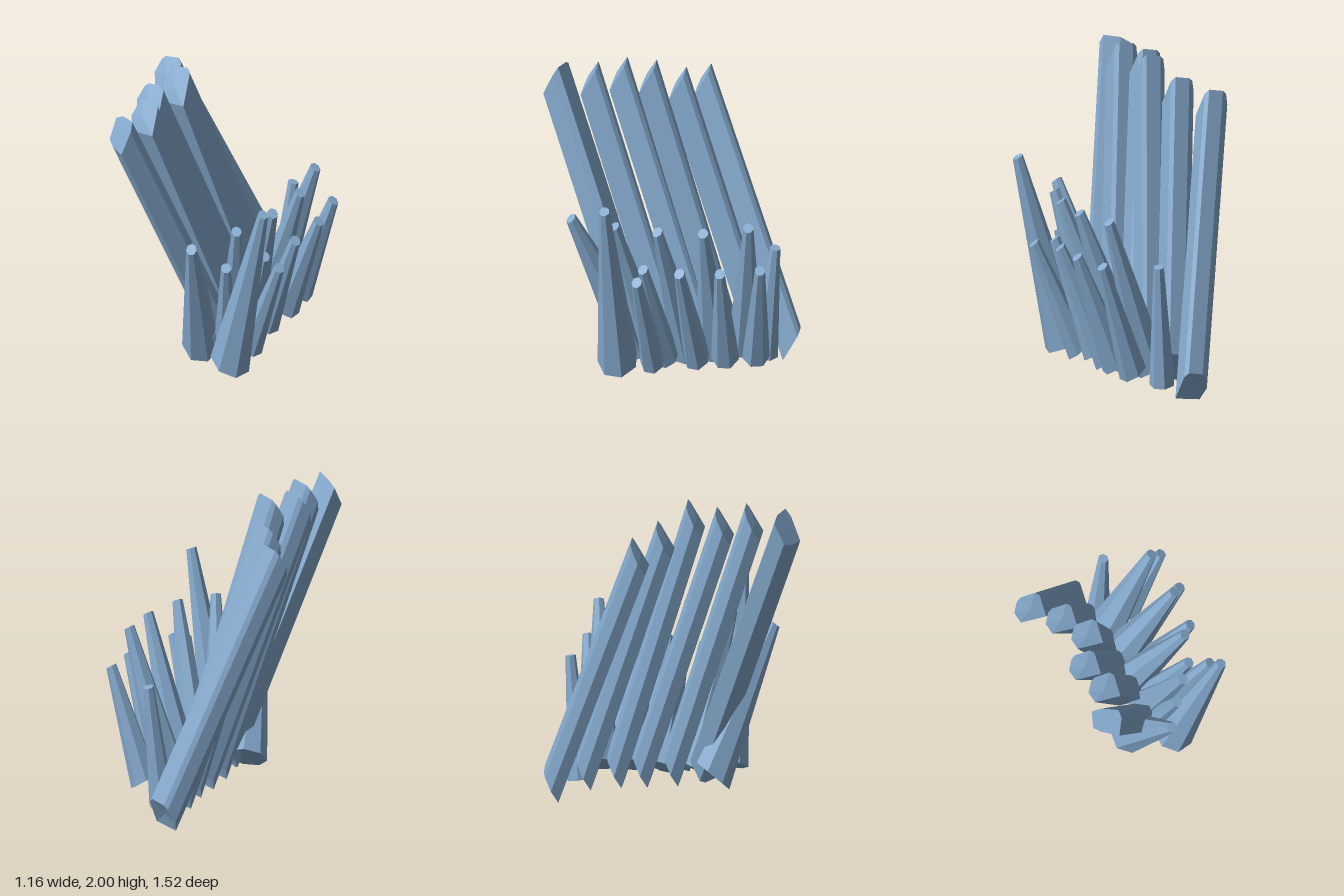
import * as THREE from 'three';

const blue = new THREE.MeshStandardMaterial({ color: 0x86abcf, flatShading: true });
blue.name = 'crystalBlue';

const toVec = (a) => new THREE.Vector3(...a);

// Slanted seven-sided end cuts: one for the row, one for the prism at its front
const rowSection = [
  [-0.087, -0.023, -0.04], [-0.07, -0.104, 0.01], [0.08, -0.08, 0.065], [0.088, 0.08, -0.025],
  [0.067, 0.107, -0.045], [-0.023, 0.086, -0.072], [-0.05, 0.06, -0.07],
].map(toVec);
const frontSection = [
  [-0.09, -0.08, -0.036], [-0.06, -0.10, 0.005], [0.025, -0.10, 0.088], [0.07, 0.045, 0.04],
  [0.07, 0.10, 0.004], [-0.01, 0.085, -0.064], [-0.065, 0.045, -0.092],
].map(toVec);

// Sweeps a section in a straight line from the bottom centre to the top centre
function prism(section, bottom, top) {
  const lo = section.map((p) => p.clone().add(bottom));
  const hi = section.map((p) => p.clone().add(top));
  const tris = [];
  const n = section.length;
  for (let i = 0; i < n; i++) {
    const j = (i + 1) % n;
    tris.push(lo[i], lo[j], hi[j], lo[i], hi[j], hi[i]);
    tris.push(top, hi[i], hi[j], bottom, lo[j], lo[i]);
  }
  const g = new THREE.BufferGeometry().setFromPoints(tris);
  g.computeVertexNormals();
  return g;
}

// Tapered seven-sided shard; its end cuts lean outward by the stretch in y
const STRETCH = 1.45;
function shard(base, tip, radius) {
  const a = new THREE.Vector3(base[0], base[1] / STRETCH, base[2]);
  const b = new THREE.Vector3(tip[0], tip[1] / STRETCH, tip[2]);
  const axis = b.clone().sub(a);
  const length = axis.length();
  axis.normalize();
  const rise = new THREE.Vector3(0, 1, 0).addScaledVector(axis, -axis.y).normalize();
  const side = axis.clone().cross(rise);
  const place = new THREE.Matrix4().makeBasis(side, axis, rise).setPosition(a.add(b).multiplyScalar(0.5));
  const g = new THREE.CylinderGeometry(0.033, radius, length, 7);
  return g.applyMatrix4(place).scale(1, STRETCH, 1);
}

export function createModel() {
  const model = new THREE.Group();
  model.name = 'crystalCluster';
  const add = (name, geometry) => {
    const mesh = new THREE.Mesh(geometry, blue);
    mesh.name = name;
    model.add(mesh);
  };

  // Row of long leaning prisms, back to front: bottom centre, top centre, section
  const prisms = [
    [[0.08, 0.106, -0.685], [-0.485, 1.72, -0.247], rowSection],
    [[0.06, 0.18, -0.485], [-0.37, 1.783, -0.064], rowSection],
    [[0.07, 0.18, -0.29], [-0.31, 1.892, 0.138], rowSection],
    [[0.05, 0.18, -0.13], [-0.425, 1.868, 0.298], rowSection],
    [[0.04, 0.18, 0.06], [-0.40, 1.873, 0.487], rowSection],
    [[0.04, 0.19, 0.24], [-0.48, 1.855, 0.67], frontSection],
  ];
  prisms.forEach(([b, t, section], i) => add('longPrism' + (i + 1), prism(section, toVec(b), toVec(t))));

  // Short shards fanning out on the left and front: base, tip, base radius
  const shards = [
    [[0.17, 0.10, -0.51], [0.24, 0.88, -0.555], 0.08],
    [[0.325, 0.19, -0.41], [0.555, 0.91, -0.385], 0.088],
    [[0.16, 0.19, -0.377], [0.455, 1.165, -0.335], 0.113],
    [[0.30, 0.19, -0.225], [0.54, 0.91, -0.135], 0.088],
    [[0.155, 0.18, -0.195], [0.445, 1.155, -0.05], 0.113],
    [[0.23, 0.16, -0.06], [0.465, 0.90, 0.105], 0.083],
    [[0.12, 0.17, -0.02], [0.355, 1.15, 0.22], 0.108],
    [[0.165, 0.15, 0.115], [0.33, 0.88, 0.305], 0.077],
    [[0.215, 0.155, 0.215], [0.445, 0.86, 0.37], 0.077],
    [[0.075, 0.16, 0.18], [0.195, 1.13, 0.455], 0.103],
    [[0.063, 0.15, 0.28], [0.135, 0.863, 0.48], 0.072],
    [[0.145, 0.15, 0.42], [0.403, 1.365, 0.565], 0.127],
    [[-0.088, 0.155, 0.275], [-0.025, 1.095, 0.68], 0.122],
  ];
  shards.forEach(([b, t, r], i) => add('shard' + (i + 1), shard(b, t, r)));

  return model;
}
